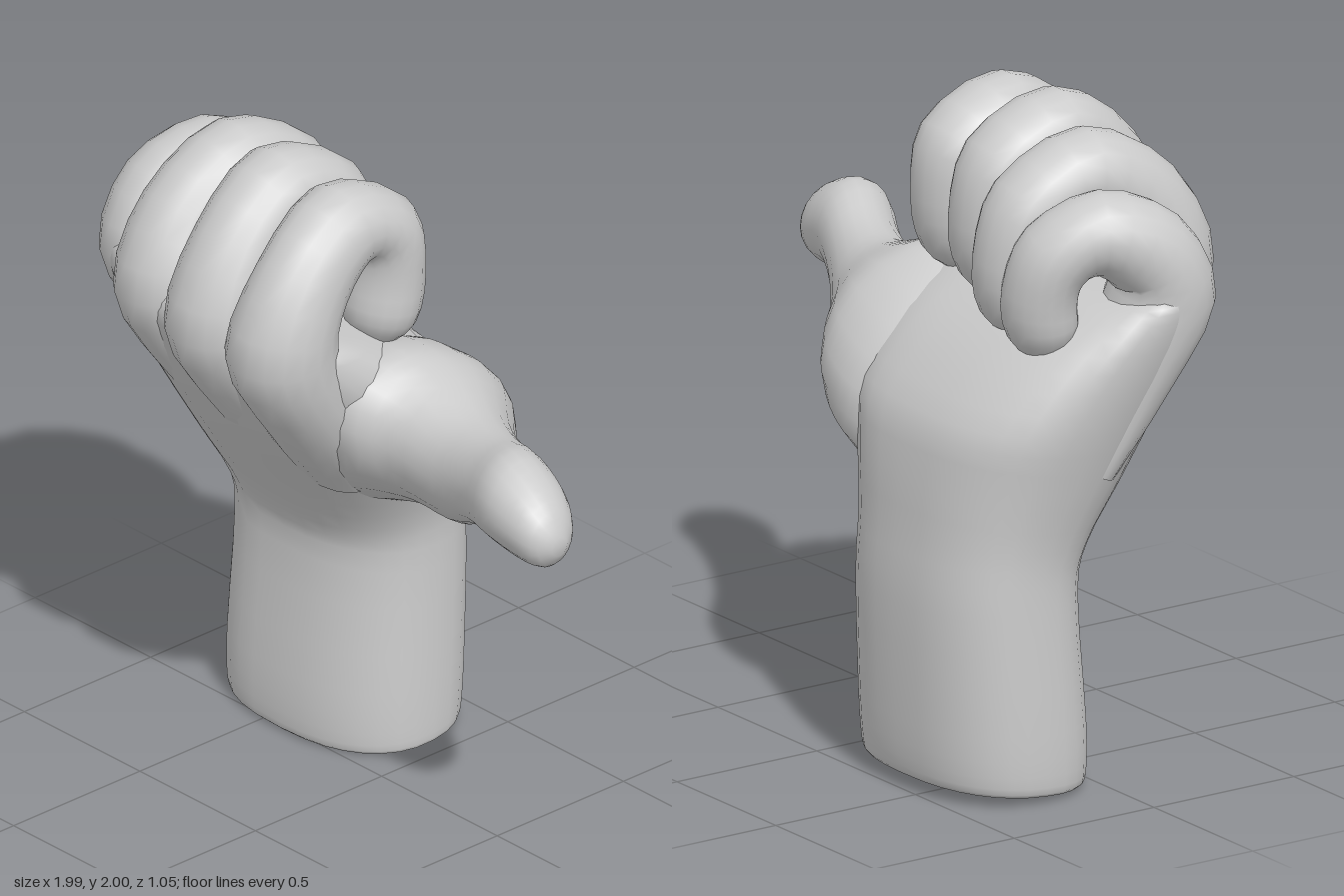
import * as THREE from 'three';

const material = new THREE.MeshStandardMaterial({ color: 0xcccccc });
const V = (x, y, z) => new THREE.Vector3(x, y, z);
const power = (c, n) => Math.sign(c) * Math.pow(Math.abs(c), 2 / n);

// Smooth closed skin through matching cross-section rings
function loft(rings, steps, name) {
  const sides = rings[0].length;
  const rows = steps * (rings.length - 1);
  const columns = rings[0].map((_, j) =>
    new THREE.CatmullRomCurve3(rings.map((r) => r[j]), false, 'catmullrom', 0.5));
  const pts = [];
  for (let i = 0; i <= rows; i++) columns.forEach((c) => pts.push(c.getPoint(i / rows)));
  const index = [];
  for (let i = 0; i < rows; i++) {
    for (let j = 0; j < sides; j++) {
      const a = i * sides + j, b = i * sides + (j + 1) % sides;
      index.push(a, b, b + sides, a, b + sides, a + sides);
    }
  }
  // flat start cap with its own corners, blended end cap
  const centre = (from) => {
    const c = V(0, 0, 0);
    for (let j = 0; j < sides; j++) c.addScaledVector(pts[from + j], 1 / sides);
    return c;
  };
  const last = rows * sides, first = pts.length;
  for (let j = 0; j < sides; j++) pts.push(pts[j].clone());
  pts.push(centre(0), centre(last));
  for (let j = 0; j < sides; j++) {
    const k = (j + 1) % sides;
    index.push(first + k, first + j, first + sides);
    index.push(last + j, last + k, first + sides + 1);
  }
  // turn the skin outward
  let volume = 0;
  for (let i = 0; i < index.length; i += 3) {
    volume += pts[index[i]].dot(V(0, 0, 0).crossVectors(pts[index[i + 1]], pts[index[i + 2]]));
  }
  if (volume < 0) index.reverse();
  const geometry = new THREE.BufferGeometry().setFromPoints(pts);
  geometry.setIndex(index);
  geometry.computeVertexNormals();
  const mesh = new THREE.Mesh(geometry, material);
  mesh.name = name;
  return mesh;
}

const around = (sides, fn) => Array.from({ length: sides }, (_, j) => {
  const a = (j / sides) * Math.PI * 2;
  return fn(Math.cos(a), Math.sin(a));
});

// Wrist and palm: front z, front y, back z, back y, min x, max x, sweep of the little-finger side
function palm() {
  const sections = [
    [0.015, 0.0, -0.485, 0.04, -0.785, -0.035, 0],
    [0.03, 0.03, -0.5, 0.07, -0.8, -0.03, 0],
    [0.03, 0.2, -0.515, 0.22, -0.805, -0.03, 0],
    [0.0, 0.6, -0.525, 0.58, -0.8, -0.035, 0],
    [0.03, 0.74, -0.51, 0.8, -0.81, -0.025, 0],
    [0.14, 0.91, -0.49, 1.0, -0.855, 0.04, 0.01],
    [0.28, 1.11, -0.44, 1.16, -0.905, 0.12, 0.04],
    [0.4, 1.31, -0.27, 1.34, -0.95, 0.145, 0.07],
    [0.475, 1.47, -0.06, 1.46, -0.975, 0.12, 0.11],
    [0.45, 1.56, 0.06, 1.5, -0.965, 0.09, 0.12],
    [0.35, 1.58, 0.14, 1.52, -0.88, 0.0, 0.12],
  ];
  const rings = sections.map(([fz, fy, bz, by, x0, x1, sweep]) => around(32, (c, s) => {
    const u = power(c, c < 0 ? 2.6 : 2.3), v = power(s, 2.3);
    const z = (fz + bz) / 2 + v * (fz - bz) / 2;
    const y = (fy + by) / 2 + v * (fy - by) / 2;
    return V((x0 + x1) / 2 + u * (x1 - x0) / 2, y, z - sweep * Math.max(0, 0.2 - u));
  }));
  return loft(rings, 3, 'wristAndPalm');
}

// Thumb: x, min y, max y, min z, max z, slant
function thumb() {
  const sections = [
    [-0.4, 0.8, 1.2, -0.3, 0.04, 0.2],
    [-0.2, 0.8, 1.34, -0.38, 0.13, 0.3],
    [-0.05, 0.84, 1.43, -0.425, 0.23, 0.32],
    [0.1, 0.905, 1.46, -0.4, 0.25, 0.3],
    [0.22, 0.95, 1.42, -0.33, 0.18, 0.2],
    [0.4, 1.0, 1.37, -0.17, 0.17, 0.1],
    [0.58, 1.1, 1.38, -0.05, 0.22, 0],
    [0.75, 1.14, 1.43, 0.03, 0.3, 0],
    [0.88, 1.14, 1.39, 0.07, 0.31, 0],
    [0.96, 1.15, 1.33, 0.12, 0.29, 0],
    [1.0, 1.2, 1.26, 0.18, 0.24, 0],
  ];
  const rings = sections.map(([x, y0, y1, z0, z1, slant]) => around(20, (c, s) => {
    const dz = c * (z1 - z0) / 2;
    const rise = slant * (z1 - z0) / 2;
    const hy = Math.sqrt(((y1 - y0) / 2) ** 2 - rise ** 2);
    return V(x, (y0 + y1) / 2 + s * hy + slant * dz, (z0 + z1) / 2 + dz);
  }));
  return loft(rings, 3, 'thumb');
}

// Curled finger: path of [x, y, z] starting deep in the palm, half width across, thickness along the path
function finger(name, path, width, thickness) {
  const p = path.map((q) => V(...q));
  const rings = p.map((c, i) => {
    const t = p[Math.min(i + 1, p.length - 1)].clone().sub(p[Math.max(i - 1, 0)]).normalize();
    const side = V(1, 0, 0).addScaledVector(t, -t.x).normalize();
    const up = V(0, 0, 0).crossVectors(t, side);
    const r = thickness[i];
    // the buried root spreads to merge with its neighbours
    const w = i < 3 ? width * 1.18 : Math.min(width, r * 1.15);
    return around(18, (a, b) => c.clone().addScaledVector(side, a * w).addScaledVector(up, b * r));
  });
  return loft(rings, 3, name);
}

export function createModel() {
  const group = new THREE.Group();
  group.name = 'thumbOutFist';
  group.add(palm(), thumb());

  const thick = [0.1, 0.14, 0.17, 0.15, 0.135, 0.12, 0.115, 0.105, 0.03];
  group.add(
    finger('indexFinger', [
      [-0.15, 1.02, 0.05], [-0.07, 1.28, 0.225], [-0.04, 1.53, 0.36], [-0.03, 1.73, 0.285], [-0.05, 1.85, 0.12],
      [-0.05, 1.79, -0.03], [-0.05, 1.64, -0.055], [-0.05, 1.5, -0.03], [-0.05, 1.41, -0.01]], 0.14, thick),
    finger('middleFinger', [
      [-0.33, 1.02, 0.05], [-0.31, 1.28, 0.225], [-0.3, 1.53, 0.36], [-0.3, 1.74, 0.285], [-0.31, 1.87, 0.12],
      [-0.3, 1.8, -0.05], [-0.29, 1.63, -0.09], [-0.28, 1.49, -0.06], [-0.28, 1.4, -0.03]], 0.145, thick),
    finger('ringFinger', [
      [-0.52, 1.02, 0.02], [-0.56, 1.28, 0.185], [-0.58, 1.53, 0.305], [-0.59, 1.71, 0.23], [-0.57, 1.83, 0.05],
      [-0.55, 1.75, -0.13], [-0.54, 1.59, -0.18], [-0.53, 1.45, -0.16], [-0.53, 1.36, -0.13]], 0.145, thick),
    finger('littleFinger', [
      [-0.7, 1.02, -0.06], [-0.77, 1.28, 0.06], [-0.82, 1.52, 0.155], [-0.835, 1.65, 0.09], [-0.79, 1.72, -0.05],
      [-0.74, 1.66, -0.17], [-0.71, 1.54, -0.205], [-0.7, 1.42, -0.19], [-0.69, 1.33, -0.16]],
    0.14, thick.map((r) => r * 0.94)),
  );
  return group;
}
